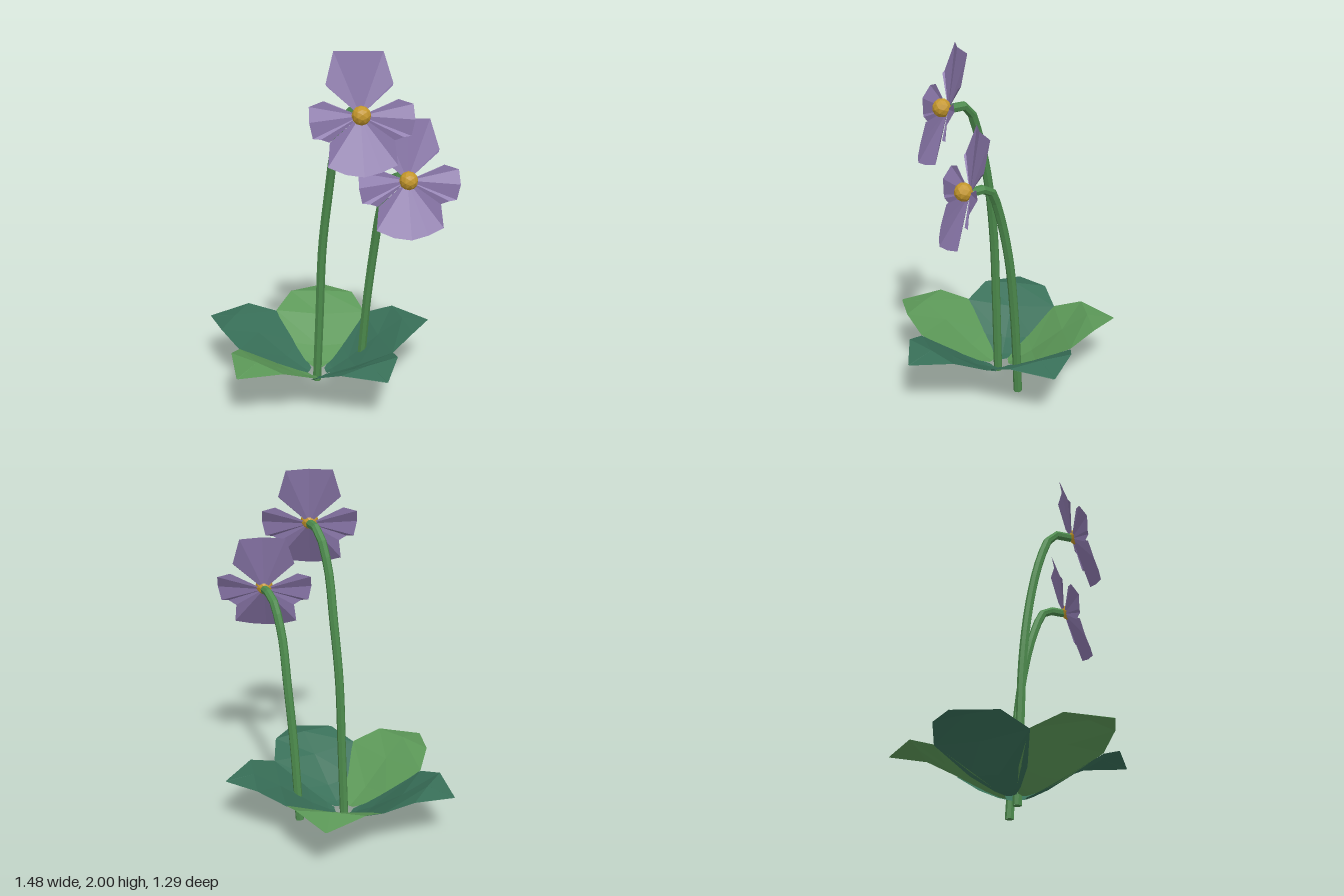
import * as THREE from 'three';

const paint = (name, color, extra = {}) => {
  const m = new THREE.MeshStandardMaterial({ color, flatShading: true, ...extra });
  m.name = name;
  return m;
};

function surface(points, index) {
  const g = new THREE.BufferGeometry();
  g.setAttribute('position', new THREE.Float32BufferAttribute(points.flat(), 3));
  g.setIndex(index);
  g.computeVertexNormals();
  return g;
}

function part(name, geometry, material, parent) {
  const mesh = new THREE.Mesh(geometry, material);
  mesh.name = name;
  parent.add(mesh);
  return mesh;
}

// Leaf pointing along +x: rows of [reach, half width, middle height, edge height]
function leafGeometry() {
  const rows = [
    [0.05, 0.03, 0.04, 0.045], [0.09, 0.075, 0.055, 0.065], [0.19, 0.165, 0.11, 0.13],
    [0.37, 0.27, 0.235, 0.255], [0.52, 0.19, 0.325, 0.318], [0.68, 0.004, 0.295, 0.293],
  ];
  const points = [], index = [];
  rows.forEach(([r, w, mid, edge], i) => {
    points.push([r, edge, -w], [r, mid, 0], [r, edge, w]);
    if (i === 0) return;
    for (let k = 0; k < 2; k++) {
      const a = (i - 1) * 3 + k, b = a + 3;
      index.push(a, a + 1, b, a + 1, b + 1, b);
    }
  });
  return surface(points, index);
}

// Petal: fan from the flower throat to its rim, listed clockwise
function petalGeometry(rim) {
  const index = [];
  for (let i = 1; i < rim.length; i++) index.push(0, i + 1, i);
  return surface([[0, 0, -0.035], ...rim], index);
}

const topRim = [
  [-0.165, 0.145, 0], [-0.175, 0.16, -0.01], [-0.13, 0.325, -0.005], [0, 0.32, 0.015],
  [0.125, 0.32, -0.005], [0.17, 0.16, -0.01], [0.165, 0.145, 0],
];
const sideRim = [
  [0.145, 0.055, 0], [0.19, 0.077, 0.01], [0.265, 0.05, 0.015], [0.268, -0.03, 0.035],
  [0.25, -0.11, 0.01], [0.21, -0.115, 0.015], [0.165, -0.13, -0.01],
];
const lowerRim = [
  [0.165, -0.13, 0.01], [0.178, -0.255, 0], [0.09, -0.29, 0.02], [0, -0.31, 0.035],
  [-0.09, -0.295, 0.02], [-0.178, -0.255, 0], [-0.165, -0.13, 0.01],
];

export function createModel() {
  const lightLeaf = paint('light leaf green', 0x5b9757, { side: THREE.DoubleSide });
  const darkLeaf = paint('dark leaf green', 0x386f58, { side: THREE.DoubleSide });
  const stemGreen = paint('stem green', 0x4c8a4c);
  const violet = paint('petal violet', 0x8a77aa, { side: THREE.DoubleSide });
  const gold = paint('centre gold', 0xc4972c);

  const model = new THREE.Group();
  model.name = 'floweringPlant';

  // Rosette of five leaves
  const rosette = new THREE.Group();
  rosette.name = 'leafRosette';
  rosette.position.x = -0.055;
  model.add(rosette);
  const leaf = leafGeometry();
  for (let i = 0; i < 5; i++) {
    const mesh = part('leaf', leaf, i % 2 ? lightLeaf : darkLeaf, rosette);
    mesh.rotation.y = -THREE.MathUtils.degToRad(39 + 72 * i);
    mesh.position.y = i % 2 ? 0.004 : 0;
  }

  const petals = [
    ['upperPetal', petalGeometry(topRim)],
    ['leftPetal', petalGeometry(sideRim)],
    ['rightPetal', petalGeometry(sideRim.map(([x, y, z]) => [-x, y, z]).reverse())],
    ['lowerPetal', petalGeometry(lowerRim)],
  ];
  const centre = new THREE.IcosahedronGeometry(0.05, 1);

  // Stem and flower, shifted sideways and shortened for the second one
  function addFlower(dx, dz, drop) {
    const plant = new THREE.Group();
    plant.name = 'flowerStalk';
    plant.position.set(dx, 0, dz);
    model.add(plant);

    const lower = (y) => (y > 0.8 ? y - drop : y * (1 - drop / 0.85));
    const path = new THREE.CatmullRomCurve3([
      [-0.055, 0, 0.01], [-0.036, 0.42, 0.017], [-0.015, 0.85, 0.027], [0.03, 1.2, 0.05],
      [0.078, 1.47, 0.09], [0.145, 1.65, 0.13], [0.175, 1.678, 0.15], [0.245, 1.68, 0.22],
    ].map(([x, y, z]) => new THREE.Vector3(x, lower(y), z)), false, 'centripetal');
    part('stem', new THREE.TubeGeometry(path, 20, 0.025, 7), stemGreen, plant);
    const foot = part('stemFoot', new THREE.CircleGeometry(0.025, 7), stemGreen, plant);
    foot.rotation.x = Math.PI / 2;
    foot.position.set(-0.055, 0.001, 0.01);

    const flower = new THREE.Group();
    flower.name = 'flower';
    flower.position.set(0.265, 1.69 - drop, 0.255);
    flower.rotation.set(-0.32, 0.42, 0, 'YXZ');
    plant.add(flower);
    petals.forEach(([name, geometry]) => part(name, geometry, violet, flower));
    part('flowerCentre', centre, gold, flower);
  }
  addFlower(0, 0, 0);
  addFlower(0.22, -0.145, 0.37);

  return model;
}
